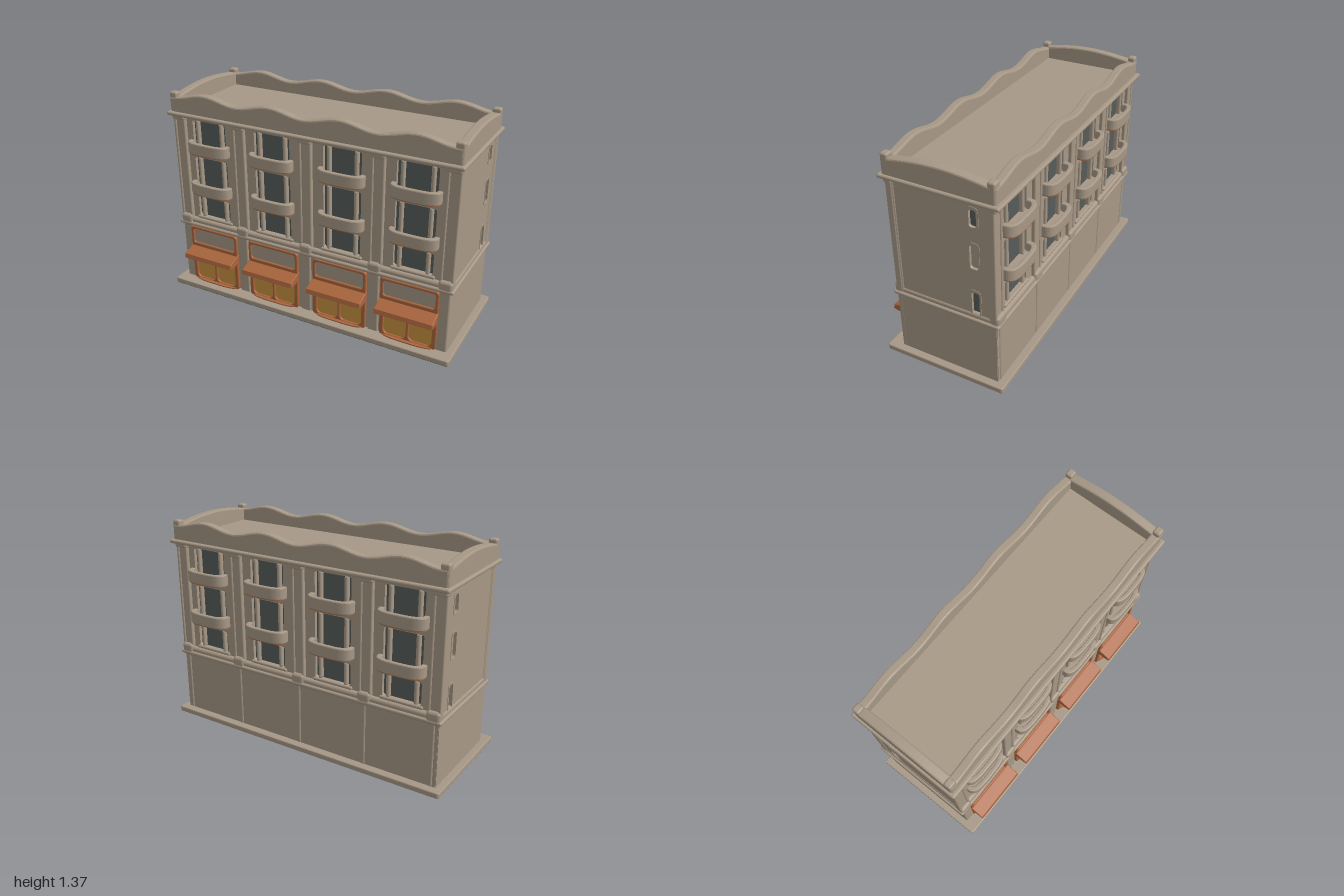
import * as THREE from 'three';
import { RoundedBoxGeometry } from 'three/addons/geometries/RoundedBoxGeometry.js';

const material = (name, color) => {
  const m = new THREE.MeshStandardMaterial({ color });
  m.name = name;
  return m;
};

export function createModel() {
  const stone = material('stone', 0xa79886);
  const glass = material('slate glass', 0x565c5a);
  const terracotta = material('terracotta', 0xa9643d);
  const amber = material('amber glass', 0xc6923e);

  const bays = [-0.705, -0.24, 0.24, 0.705];
  const piers = [-0.472, 0, 0.472];
  const floors = [[0.52, 0.66], [0.72, 0.94], [1.0, 1.19]];

  const add = (parent, name, geometry, mat) => {
    const mesh = new THREE.Mesh(geometry, mat);
    mesh.name = name;
    parent.add(mesh);
    return mesh;
  };
  // Soft-edged box given by its limits on each axis
  const box = (parent, name, mat, x0, x1, y0, y1, z0, z1, r = 0.012) => {
    const w = x1 - x0, h = y1 - y0, d = z1 - z0;
    const g = new RoundedBoxGeometry(w, h, d, 2, Math.min(r, Math.min(w, h, d) * 0.45));
    g.translate((x0 + x1) / 2, (y0 + y1) / 2, (z0 + z1) / 2);
    return add(parent, name, g, mat);
  };
  // Rectangle outline, optionally with rounded corners
  const rect = (Type, x0, x1, y0, y1, r = 0) => {
    const s = new Type();
    if (!r) {
      s.moveTo(x0, y0).lineTo(x1, y0).lineTo(x1, y1).lineTo(x0, y1).closePath();
      return s;
    }
    s.absarc(x1 - r, y0 + r, r, -Math.PI / 2, 0);
    s.absarc(x1 - r, y1 - r, r, 0, Math.PI / 2);
    s.absarc(x0 + r, y1 - r, r, Math.PI / 2, Math.PI);
    s.absarc(x0 + r, y0 + r, r, Math.PI, Math.PI * 1.5);
    s.closePath();
    return s;
  };
  const extrude = (shape, depth, bevel = 0) => new THREE.ExtrudeGeometry(shape, {
    depth: depth - 2 * bevel, bevelEnabled: bevel > 0, bevelSize: bevel,
    bevelThickness: bevel, bevelOffset: -bevel, bevelSegments: 2, curveSegments: 6,
  }).translate(0, 0, bevel);

  // Bowed balcony: a curved parapet over a terracotta floor
  const bow = (w, d) => Array.from({ length: 25 }, (_, i) => {
    const a = (i / 24) * Math.PI, c = Math.cos(a);
    return new THREE.Vector2(w * Math.sign(c) * Math.abs(c) ** 0.6, d * Math.max(0, Math.sin(a)) ** 0.6);
  });
  // Bowed slab lying flat, with its top at the given height
  const bowSlab = (w, d, thick, top) =>
    extrude(new THREE.Shape(bow(w, d)), thick).rotateX(Math.PI / 2).translate(0, top, 0);
  function balcony(parent, x, y, d) {
    const g = new THREE.Group();
    g.name = 'balcony';
    g.position.set(x, y, 0.308);
    const rim = new THREE.Shape([...bow(0.152, d), ...bow(0.122, d - 0.028).reverse()]);
    add(g, 'balconyRail', extrude(rim, 0.077, 0.007).rotateX(Math.PI / 2).translate(0, 0.078, 0), stone);
    add(g, 'balconyDeck', bowSlab(0.145, d - 0.008, 0.02, 0.022), stone);
    add(g, 'balconySoffit', bowSlab(0.147, d - 0.005, 0.006, 0.003), terracotta);
    parent.add(g);
  }

  // Terracotta shopfront with sign panel, awning and two display windows
  function shop(parent, x) {
    const g = new THREE.Group();
    g.name = 'shopfront';
    g.position.x = x;
    const frame = rect(THREE.Shape, -0.185, 0.185, 0.035, 0.44, 0.02);
    frame.holes.push(rect(THREE.Path, -0.165, 0.165, 0.32, 0.422, 0.015));
    for (const s of [-1, 1]) {
      frame.holes.push(rect(THREE.Path, s * 0.083 - 0.074, s * 0.083 + 0.074, 0.052, 0.23, 0.03));
      box(g, 'displayWindow', amber, s * 0.083 - 0.077, s * 0.083 + 0.077, 0.048, 0.235, 0.31, 0.334, 0.004);
    }
    add(g, 'shopFrame', extrude(frame, 0.05, 0.006).translate(0, 0, 0.297), terracotta);
    box(g, 'signPanel', stone, -0.17, 0.17, 0.315, 0.427, 0.305, 0.334, 0.004);
    add(g, 'shopSill', bowSlab(0.17, 0.05, 0.014, 0.047).translate(0, 0, 0.32), terracotta);
    const side = new THREE.Shape([[0.32, 0.305], [0.355, 0.293], [0.428, 0.265], [0.434, 0.236], [0.395, 0.228], [0.33, 0.24]]
      .map(([z, y]) => new THREE.Vector2(-z, y)));
    add(g, 'awning', extrude(side, 0.375, 0.005).rotateY(Math.PI / 2).translate(-0.1875, 0, 0), terracotta);
    parent.add(g);
  }

  // One long face, built facing +z around the building's own centre
  function facade(name, hasShops) {
    const g = new THREE.Group();
    g.name = name;
    const upper = rect(THREE.Shape, -0.95, 0.95, 0.45, 1.23);
    const ground = rect(THREE.Shape, -0.95, 0.95, 0.02, 0.46);
    for (const x of bays) {
      floors.forEach(([y0, y1], i) => {
        upper.holes.push(rect(THREE.Path, x - 0.125, x + 0.125, y0, y1, 0.012));
        box(g, 'windowGlass', glass, x - 0.13, x + 0.13, y0 - 0.005, y1 + 0.005, 0.272, 0.288, 0.002);
        for (const s of [-1, 1])
          box(g, 'mullion', stone, x + s * 0.09 - 0.012, x + s * 0.09 + 0.012, y0 - 0.004, y1 + 0.004, 0.28, 0.315);
        if (i === 0) box(g, 'windowSill', stone, x - 0.14, x + 0.14, y0 - 0.022, y0, 0.3, 0.322);
      });
      for (const y of [0.698, 0.98]) balcony(g, x, y, hasShops ? 0.07 : 0.083);
      if (hasShops) {
        ground.holes.push(rect(THREE.Path, x - 0.18, x + 0.18, 0.04, 0.435));
        shop(g, x);
      }
    }
    add(g, 'upperWall', extrude(upper, 0.035).translate(0, 0, 0.275), stone);
    add(g, 'groundWall', extrude(ground, 0.03).translate(0, 0, 0.297), stone);

    // Piers with raised edges, feet and capitals
    for (const x of [-0.92, ...piers, 0.92]) {
      const w = 0.04;
      box(g, 'pier', stone, x - w, x + w, 0.45, 1.22, 0.28, 0.325);
      for (const s of [-1, 1])
        box(g, 'pierEdge', stone, x + s * 0.034 - 0.01, x + s * 0.034 + 0.01, 0.46, 1.22, 0.29, 0.333);
      box(g, 'pierFoot', stone, x - 0.045, x + 0.045, 0.435, 0.52, 0.29, 0.347, 0.02);
      box(g, 'pierCapital', stone, x - 0.046, x + 0.046, 1.185, 1.22, 0.29, 0.343);
      if (hasShops) box(g, 'groundPier', stone, x - 0.036, x + 0.036, 0.03, 0.45, 0.3, 0.338);
      else box(g, 'groundPilaster', stone, x - 0.012, x + 0.012, 0.03, 0.45, 0.3, 0.334);
    }

    // Parapet crest rising over each bay
    const crest = new THREE.Shape();
    crest.moveTo(-0.965, 1.225).lineTo(0.965, 1.225);
    for (let i = 0; i <= 64; i++) {
      const x = 0.965 - (i / 64) * 1.93;
      crest.lineTo(x, 1.352 + 0.019 * Math.cos((2 * Math.PI * (Math.abs(x) - 0.235)) / 0.47));
    }
    add(g, 'parapet', extrude(crest, 0.055, 0.01).translate(0, 0, 0.292), stone);
    return g;
  }

  // Short side: wall with three narrow niches, and an arched parapet
  function sideWall(s) {
    const g = new THREE.Group();
    g.name = s > 0 ? 'leftSide' : 'rightSide';
    const wall = rect(THREE.Shape, -0.325, 0.325, 0.02, 1.23);
    const u = 0.2 * s; // niches sit toward the back on both sides
    [[0.485, 0.64, 0.024, glass], [0.8, 0.95, 0.026, stone], [1.065, 1.17, 0.022, glass]].forEach(([y0, y1, w, mat]) => {
      wall.holes.push(rect(THREE.Path, u - w, u + w, y0, y1, 0.015));
      box(g, 'nichePanel', mat, u - w - 0.004, u + w + 0.004, y0 - 0.004, y1 + 0.004, 0.925, 0.94, 0.002);
      const trim = rect(THREE.Shape, u - 0.035, u + 0.035, y0 - 0.012, y1 + 0.018, 0.024);
      trim.holes.push(rect(THREE.Path, u - w, u + w, y0, y1, 0.015));
      add(g, 'nicheTrim', extrude(trim, 0.012).translate(0, 0, 0.946), stone);
    });
    add(g, 'endWall', extrude(wall, 0.025).translate(0, 0, 0.93), stone);
    const crest = new THREE.Shape();
    crest.moveTo(-0.34, 1.225).lineTo(0.34, 1.225);
    for (let i = 0; i <= 24; i++) crest.lineTo(0.34 - (i / 24) * 0.68, 1.332 + 0.036 * Math.sin((i / 24) * Math.PI));
    add(g, 'endParapet', extrude(crest, 0.06, 0.01).translate(0, 0, 0.909), stone);
    g.rotation.y = (s * Math.PI) / 2;
    return g;
  }

  const model = new THREE.Group();
  model.name = 'terraceBuilding';
  const house = new THREE.Group();
  house.name = 'house';
  house.position.z = -0.02;
  model.add(house);

  const back = facade('backFacade', false);
  back.rotation.y = Math.PI;
  house.add(facade('frontFacade', true), back, sideWall(1), sideWall(-1));

  // Bands, cornice, roof and corner posts
  box(house, 'stringCourse', stone, -0.975, 0.975, 0.443, 0.468, -0.35, 0.35);
  box(house, 'stringMoulding', stone, -0.962, 0.962, 0.43, 0.5, -0.336, 0.336, 0.02);
  box(house, 'cornice', stone, -0.985, 0.985, 1.215, 1.24, -0.372, 0.37);
  box(house, 'roof', stone, -0.93, 0.93, 1.22, 1.258, -0.31, 0.31, 0.004);
  for (const sx of [-1, 1]) for (const sz of [-1, 1]) {
    const x = sx * 0.942, z = sz * 0.32;
    box(house, 'cornerPost', stone, x - 0.027, x + 0.027, 1.23, 1.365, z - 0.024, z + 0.024);
  }

  // Open plinth ring with a dark underside along the front
  const ring = rect(THREE.Shape, -1, 1, -0.4, 0.4, 0.015);
  ring.holes.push(rect(THREE.Path, -0.95, 0.95, -0.28, 0.345));
  add(model, 'plinth', extrude(ring, 0.036, 0.006).rotateX(-Math.PI / 2).translate(0, 0.004, 0), stone);
  box(model, 'plinthUnderside', glass, -0.99, 0.99, 0, 0.008, 0.275, 0.395, 0.002);
  return model;
}
